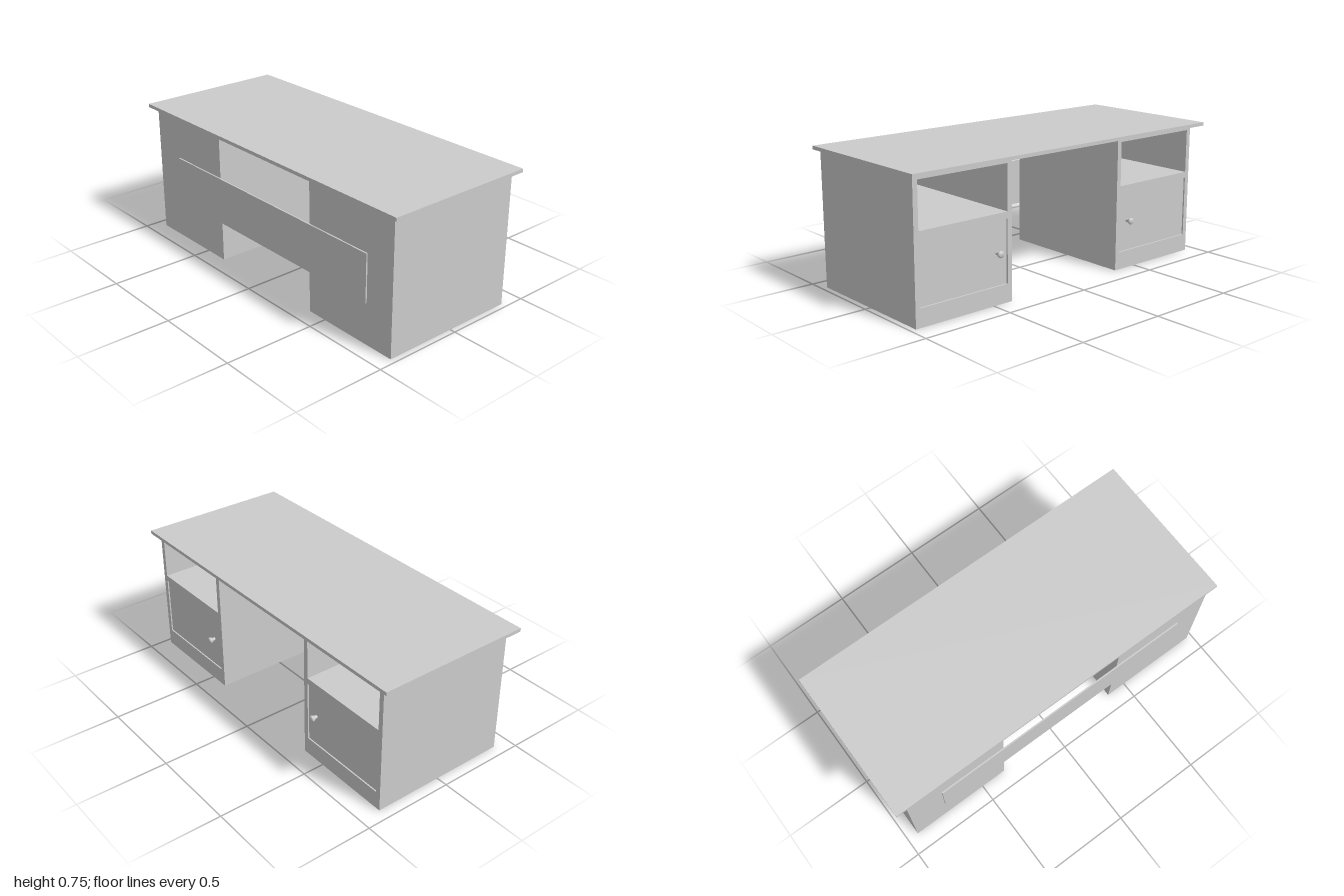
import * as THREE from 'three';

const material = new THREE.MeshStandardMaterial({ color: 0xcccccc });
const BACK = -0.405, FRONT = 0.382, HEIGHT = 0.727;

function add(parent, name, geometry, x = 0, y = 0, z = 0) {
  const mesh = new THREE.Mesh(geometry, material);
  mesh.name = name;
  mesh.position.set(x, y, z);
  parent.add(mesh);
  return mesh;
}

// Box given by its minimum and maximum corners
function addBox(parent, name, [x0, y0, z0], [x1, y1, z1]) {
  return add(parent, name, new THREE.BoxGeometry(x1 - x0, y1 - y0, z1 - z0),
    (x0 + x1) / 2, (y0 + y1) / 2, (z0 + z1) / 2);
}

function rectangle(Type, halfWidth, y0, y1) {
  return new Type([[-halfWidth, y0], [halfWidth, y0], [halfWidth, y1], [-halfWidth, y1]]
    .map(([u, v]) => new THREE.Vector2(u, v)));
}

// Pedestal cabinet: open compartment above a door; knobSide is the z side of the knob
function pedestal(name, z, knobSide) {
  const group = new THREE.Group();
  group.name = name;
  group.position.z = z;
  const half = 0.292, open = 0.265, backThickness = 0.02;

  // Carcass: sides, top, shelf and plinth in one frame
  const frame = rectangle(THREE.Shape, half, 0, HEIGHT);
  frame.holes.push(rectangle(THREE.Path, open, 0.466, 0.706));
  frame.holes.push(rectangle(THREE.Path, open, 0.097, 0.432));
  const carcass = new THREE.ExtrudeGeometry(frame, {
    depth: FRONT - BACK - backThickness, bevelEnabled: false,
  });
  carcass.rotateY(Math.PI / 2);
  add(group, 'carcass', carcass, BACK + backThickness);
  addBox(group, 'cabinetBack', [BACK, 0, -half], [BACK + backThickness, HEIGHT, half]);

  // Door set slightly back in its opening
  const face = FRONT - 0.006;
  addBox(group, 'door', [face - 0.02, 0.099, -open + 0.003], [face, 0.43, open - 0.003]);

  // Turned knob
  const profile = [[0.010, 0], [0.009, 0.008], [0.011, 0.014], [0.016, 0.021],
    [0.0185, 0.027], [0.018, 0.032], [0.014, 0.036], [0.007, 0.038], [0, 0.0385]]
    .map(([r, h]) => new THREE.Vector2(r, h));
  const knob = new THREE.LatheGeometry(profile, 24);
  knob.rotateZ(-Math.PI / 2);
  add(group, 'doorKnob', knob, face, 0.266, knobSide * 0.202);
  return group;
}

export function createModel() {
  const desk = new THREE.Group();
  desk.name = 'desk';

  addBox(desk, 'deskTop', [-0.428, HEIGHT, -1], [0.426, 0.746, 1]);
  desk.add(pedestal('leftPedestal', 0.678, -1));
  desk.add(pedestal('rightPedestal', -0.645, 1));

  // Panel across the back, joining both pedestals
  addBox(desk, 'modestyPanel', [-0.413, 0.228, -0.74], [BACK, 0.489, 0.8]);
  return desk;
}
